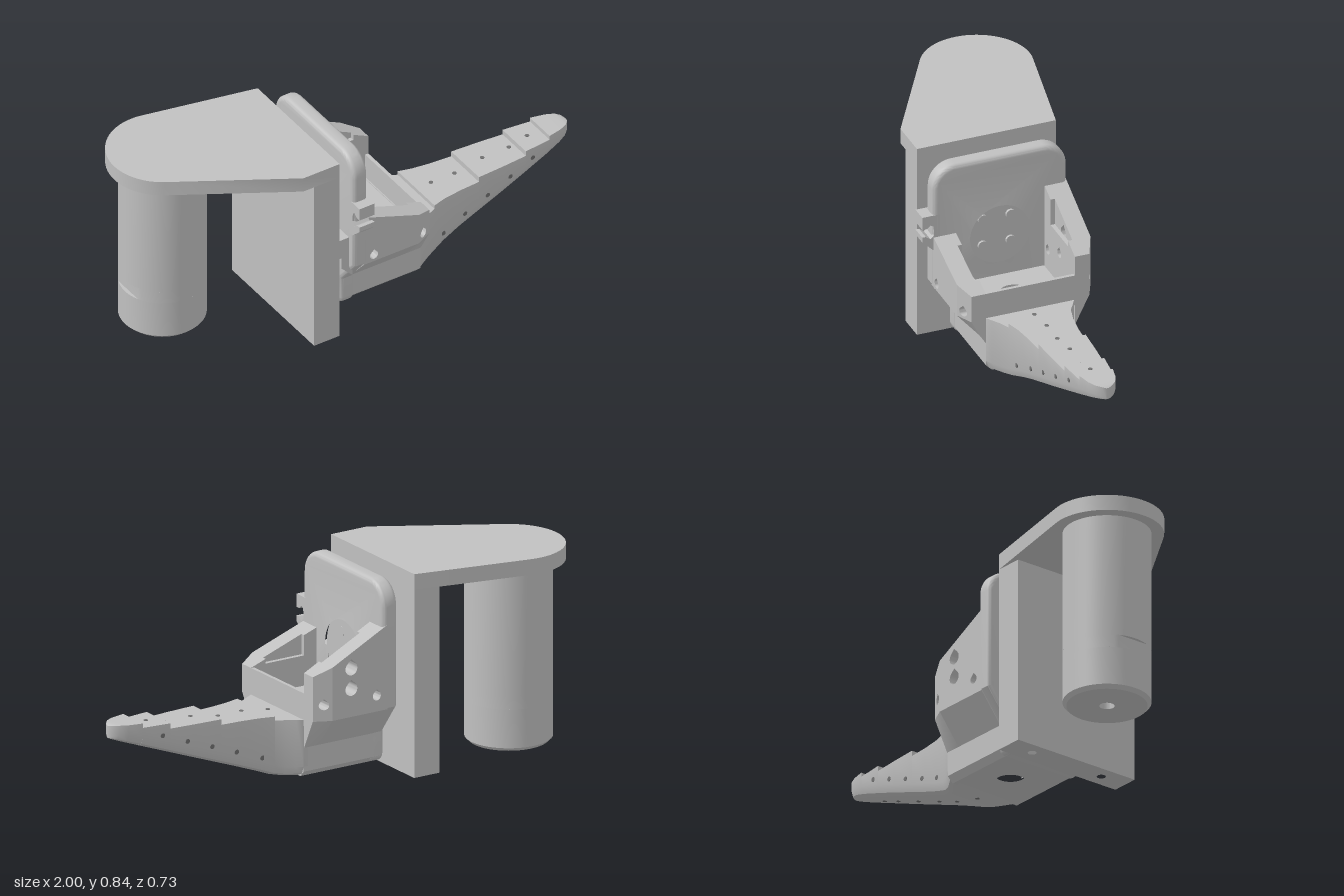
import * as THREE from 'three';
import { toCreasedNormals } from 'three/addons/utils/BufferGeometryUtils.js';

const grey = new THREE.MeshStandardMaterial({ color: 0xc0c0c0 });
grey.name = 'light grey';
const shade = new THREE.MeshStandardMaterial({ color: 0x707070 });
shade.name = 'hole grey';

const CZ = 0.035; // centre plane of the hand

function arc(u, v, r, from, to, n = 12) {
  return Array.from({ length: n + 1 }, (_, i) => {
    const a = THREE.MathUtils.degToRad(from + (to - from) * i / n);
    return [u + r * Math.cos(a), v + r * Math.sin(a)];
  });
}
const circle = (u, v, r, n = 32) => arc(u, v, r, 0, 360 - 360 / n, n - 1);
const teardrop = (u, v, r) => [...arc(u, v, r, 135, 405, 18), [u, v + r * 1.414]];
const rect = (u0, v0, u1, v1) => [[u0, v0], [u1, v0], [u1, v1], [u0, v1]];

// Extrudes an outline along an axis: x takes [z, y], y takes [x, z], z takes [x, y]
function prism(axis, outline, from, to, holes = [], bevel = 0) {
  const map = ([u, v]) => new THREE.Vector2(axis === 'x' ? -u : u, axis === 'y' ? -v : v);
  const shape = new THREE.Shape(outline.map(map));
  shape.holes = holes.map((h) => new THREE.Path(h.map(map)));
  const geo = new THREE.ExtrudeGeometry(shape, {
    depth: to - from - 2 * bevel, bevelEnabled: bevel > 0, bevelThickness: bevel,
    bevelSize: bevel, bevelOffset: -bevel, bevelSegments: 5,
  });
  geo.translate(0, 0, from + bevel);
  if (axis === 'x') geo.rotateY(Math.PI / 2);
  if (axis === 'y') geo.rotateX(-Math.PI / 2);
  return geo;
}

// Moves every vertex by a rule
function bend(geo, rule) {
  const p = geo.attributes.position;
  const v = new THREE.Vector3();
  for (let i = 0; i < p.count; i++) {
    rule(v.fromBufferAttribute(p, i));
    p.setXYZ(i, v.x, v.y, v.z);
  }
  return geo;
}

// Finger: x, half width, top height; a repeated x makes a step
const stations = [
  [0.18, 0.187, 0.295], [0.2, 0.187, 0.295], [0.225, 0.172, 0.295], [0.26, 0.15, 0.295], [0.3, 0.133, 0.295],
  [0.3, 0.133, 0.312], [0.36, 0.117, 0.312], [0.44, 0.106, 0.312], [0.53, 0.1, 0.312],
  [0.53, 0.1, 0.335], [0.65, 0.093, 0.335], [0.76, 0.084, 0.335],
  [0.76, 0.084, 0.357], [0.88, 0.071, 0.357],
  [0.88, 0.071, 0.375], [0.94, 0.058, 0.375], [0.975, 0.042, 0.375], [0.993, 0.022, 0.373], [1, 0.006, 0.368],
];
const fingerBottom = (x) => 0.055 + Math.max(0, x - 0.28) * 0.365;

function fingerGeometry() {
  const pos = [], idx = [], n = 8;
  for (const [x, w, t] of stations) {
    const b = fingerBottom(x), c = Math.min(0.045, (t - b) * 0.5, w * 0.6);
    const half = [[w, t], [w, b + c], [w - 0.3 * c, b + 0.3 * c], [w - c, b]];
    const ring = [...half, ...half.map(([z, y]) => [-z, y]).reverse()];
    for (const [z, y] of ring) pos.push(x, y, CZ + z);
  }
  for (let k = 0; k < stations.length - 1; k++) {
    for (let i = 0; i < n; i++) {
      const a = k * n + i, b = k * n + (i + 1) % n;
      idx.push(a, b, b + n, a, b + n, a + n);
    }
  }
  const end = (stations.length - 1) * n;
  for (let i = 1; i < n - 1; i++) idx.push(end, end + i, end + i + 1);
  const geo = new THREE.BufferGeometry();
  geo.setAttribute('position', new THREE.Float32BufferAttribute(pos, 3));
  geo.setIndex(idx);
  return geo;
}

function fingerAt(x) {
  let k = 0;
  while (k < stations.length - 2 && stations[k + 1][0] <= x) k++;
  const [x0, w0, t0] = stations[k], [x1, w1] = stations[k + 1];
  return { w: w0 + (w1 - w0) * (x - x0) / (x1 - x0), top: t0 };
}

export function createModel() {
  const root = new THREE.Group();
  root.name = 'grippingHand';
  function add(name, geo, mat = grey) {
    const flat = geo.index ? geo.toNonIndexed() : geo;
    const mesh = new THREE.Mesh(toCreasedNormals(flat, 0.6), mat);
    mesh.name = name;
    root.add(mesh);
    return mesh;
  }

  // Mount: arm plate and upright, with two holes in the foot
  add('armPlate', prism('y', [[-0.25, 0.33], [-0.25, -0.26],
    ...arc(-0.775, -0.14, 0.225, -78, -239, 32), [-0.42, 0.33]], 0.78, 0.845));
  const foot = rect(-0.37, -0.26, -0.25, 0.33);
  add('uprightFoot', prism('y', foot, 0, 0.1, [circle(-0.31, 0.21, 0.018, 16), circle(-0.31, -0.14, 0.018, 16)]));
  add('upright', prism('y', foot, 0.1, 0.78));

  // Motor can with a chamfered foot, a shaft hole and a flat slot
  const can = (name, geo, y) => add(name, geo.translate(-0.775, y, -0.14));
  can('motorBottom', new THREE.LatheGeometry([[0, 0.1], [0.03, 0.1], [0.03, 0.035], [0.16, 0.035],
    [0.175, 0.05], [0.175, 0.21], [0, 0.21]].map((p) => new THREE.Vector2(...p)), 64), 0);
  can('motorSlot', prism('y', arc(0, 0, 0.175, -156, 156, 56), 0.21, 0.265), 0);
  can('motorBody', new THREE.CylinderGeometry(0.175, 0.175, 0.515, 64), 0.5225);

  // Wrist shaft and bolted flange
  add('wristShaft', new THREE.CylinderGeometry(0.14, 0.14, 0.1, 64).rotateZ(Math.PI / 2).translate(-0.2, 0.47, CZ));
  const bolts = [];
  for (const dz of [-0.059, 0.059]) for (const dy of [-0.059, 0.059]) bolts.push([CZ + dz, 0.47 + dy]);
  add('wristFlange', prism('x', circle(CZ, 0.47, 0.144, 64), -0.16, -0.13,
    [circle(CZ, 0.47, 0.033), ...bolts.map(([z, y]) => teardrop(z, y, 0.035))]));
  for (const [z, y] of bolts) {
    add('flangeBolt', new THREE.CylinderGeometry(0.02, 0.02, 0.02, 24).rotateZ(Math.PI / 2).translate(-0.15, y, z));
  }

  // Rounded palm plate
  add('palmPlate', prism('x', [
    ...arc(0.22, 0.725, 0.1, 0, 90), ...arc(-0.15, 0.725, 0.1, 90, 180),
    [-0.25, 0.31], [-0.152, 0.18], ...arc(-0.122, 0.085, 0.03, 180, 270, 6),
    ...arc(0.195, 0.085, 0.03, 270, 360, 6), [0.225, 0.18], [0.32, 0.3],
  ], -0.18, -0.11, [circle(CZ, 0.47, 0.147, 64)], 0.02));

  // Palm base with a round hole through the floor and a chamfered underside
  const base = rect(-0.16, -0.152, 0.2, 0.222), drain = [circle(0.04, CZ, 0.06)];
  add('palmBase', prism('y', base, 0.08, 0.285, drain));
  add('palmUnderside', bend(prism('y', base, 0.055, 0.08, drain), (v) => {
    if (v.y < 0.06 && Math.hypot(v.x - 0.04, v.z - CZ) > 0.1) v.z -= Math.sign(v.z - CZ) * 0.025;
  }));
  add('frontLip', prism('x', rect(-0.16, 0.27, 0.23, 0.405), 0.185, 0.2));

  // Side walls: inner, outer and recess faces in z, wall heights, hole positions
  const walls = [
    { name: 'frontWall', s: 1, inner: 0.222, outer: 0.317, y0: 0.29, top: (x) => 0.476 - 0.355 * x,
      holes: [[-0.08, 0.32]], corner: 0.32, notch: 0.41 },
    { name: 'backWall', s: -1, inner: -0.155, outer: -0.25, y0: 0.305, top: (x) => 0.59 - 0.5 * x,
      holes: [[-0.08, 0.37], [0.04, 0.505], [0.04, 0.42]], corner: 0.37, notch: 0.5 },
  ];
  for (const { name, s, inner, outer, y0, top, holes, corner, notch } of walls) {
    const span = (a, b) => [Math.min(a, b), Math.max(a, b)];
    const recess = inner + s * 0.018;
    const pull = (v) => { if ((v.z - recess) * s > 0.01) v.z -= s * 0.033 * (v.x - 0.13) / 0.07; };
    const side = (x0, x1) => [[x0, y0], [x1, y0], [x1, top(x1)], [x0, top(x0)]];
    const drills = holes.map(([x, y]) => teardrop(x, y, y > 0.4 ? 0.028 : 0.019));
    add(name, prism('z', side(-0.13, 0.13), ...span(recess, outer), drills));
    add(name + 'Corner', bend(prism('z', side(0.13, 0.2), ...span(recess, outer),
      [teardrop(0.16, corner, 0.019)]), pull));
    // Inner lining, notched along its top edge
    add(name + 'Lining', prism('z', [[-0.13, 0.27], [0.2, 0.27], [0.2, top(0.2)], [0.13, top(0.13)],
      [0.13, notch], [-0.05, notch], [-0.05, top(-0.05)], [-0.13, top(-0.13)]], ...span(inner, recess),
      holes.filter(([x, y]) => y < notch - 0.04 && y > 0.31).map(([x, y]) => teardrop(x, y, 0.019))));
    // Sloping flank under the wall
    const flank = [[inner, 0.18], [outer, y0], [inner, y0]];
    add(name + 'Flank', prism('x', flank, -0.13, 0.13));
    add(name + 'FlankCorner', bend(prism('x', flank, 0.13, 0.2), pull));
  }

  // Cable hook on the palm edge and clip behind it
  add('cableHook', prism('x', [[0.29, 0.615], [0.365, 0.615], [0.365, 0.56], [0.345, 0.56], [0.33, 0.573],
    [0.317, 0.565], [0.315, 0.525], [0.33, 0.51], [0.35, 0.525], [0.365, 0.525], [0.365, 0.503],
    [0.315, 0.455], [0.29, 0.455]], -0.18, -0.11));
  add('rearClip', prism('z', [[-0.235, 0.43], [-0.235, 0.345], [-0.215, 0.34], [-0.215, 0.29],
    [-0.165, 0.24], [-0.165, 0.43]], 0.225, 0.29));

  // Stepped finger
  add('finger', fingerGeometry());

  // Small cord holes through the finger
  for (const x of [0.245, 0.37, 0.48, 0.61, 0.735, 0.82]) {
    const { top } = fingerAt(x), low = fingerBottom(x);
    add('cordHole', new THREE.CylinderGeometry(0.009, 0.009, top - low + 0.004, 12)
      .translate(x, (top + low) / 2, CZ), shade);
  }
  for (let i = 0; i < 5; i++) {
    const x = 0.35 + 0.111 * i, { w } = fingerAt(x);
    add('pinHole', new THREE.CylinderGeometry(0.01, 0.01, 2 * w + 0.004, 12).rotateX(Math.PI / 2)
      .translate(x, 0.147 + 0.041 * i, CZ), shade);
  }
  return root;
}
